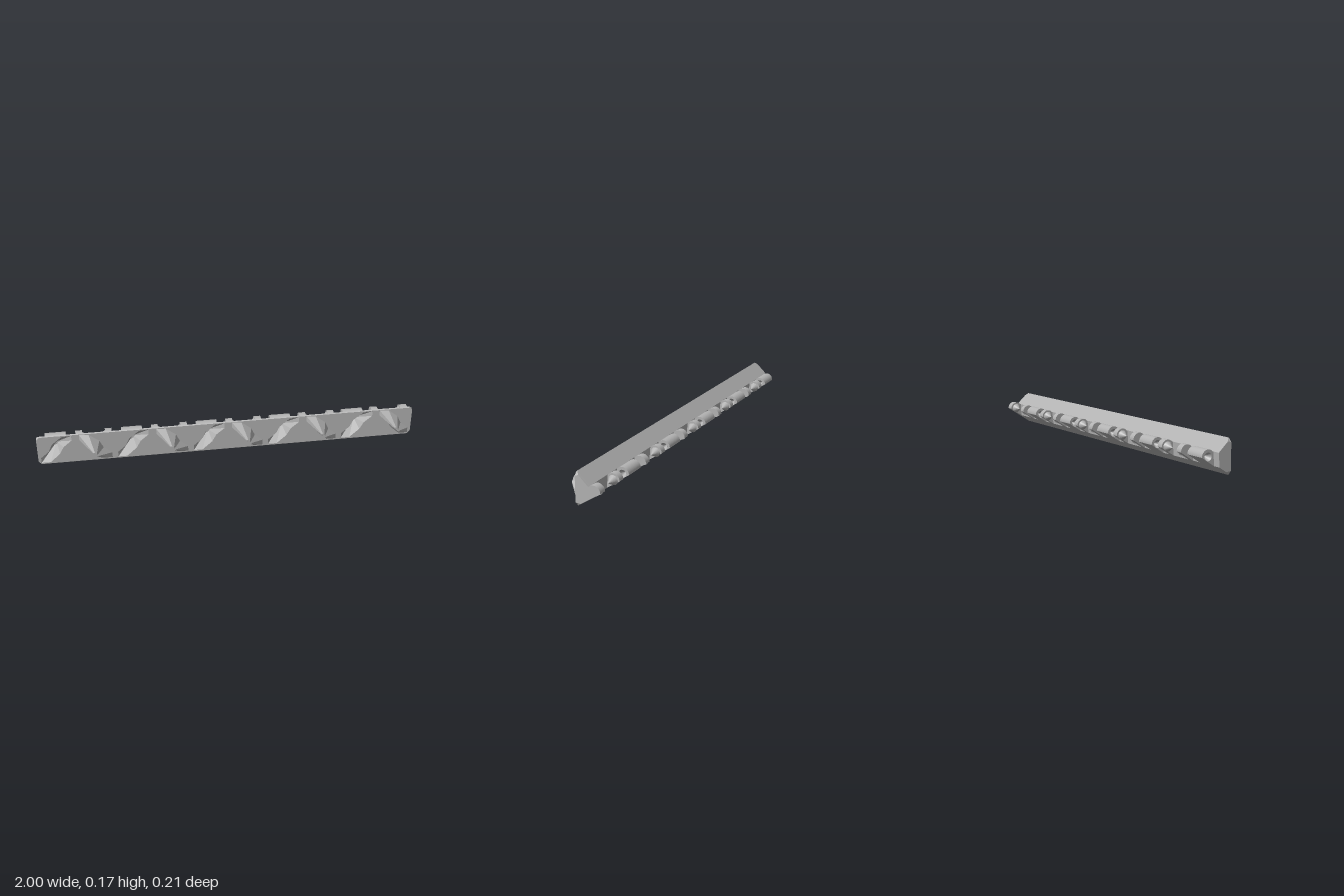
import * as THREE from 'three';

const grey = new THREE.MeshStandardMaterial({ color: 0xb2b2b2, side: THREE.DoubleSide, flatShading: true });
grey.name = 'plain grey';

const FRONT = 0.03;              // z of the flat front face
const AXIS = { y: 0.088, z: -0.069 }; // hinge axis

function part(geometry, name, parent) {
  const mesh = new THREE.Mesh(geometry, grey);
  mesh.name = name;
  parent.add(mesh);
  return mesh;
}

function fromTriangles(positions) {
  const g = new THREE.BufferGeometry();
  g.setAttribute('position', new THREE.Float32BufferAttribute(positions, 3));
  g.computeVertexNormals();
  return g;
}

// Diagonal waisted outline shared by sockets and teeth, counter-clockwise
const outline = [[-0.085, -0.045], [-0.042, -0.008], [-0.022, 0.035], [0.03, 0.076], [0.08, 0.08],
  [0.08, 0.05], [0.036, 0.013], [0.014, -0.028], [-0.038, -0.075], [-0.085, -0.075]];
const socketOutline = outline.slice().reverse();
const toothOutline = outline.map(([x, y]) => [-x, y]);

// Taper an outline from z0 to a small capped end at z1
function taper(points, z0, z1, scale) {
  const out = [];
  points.forEach(([ax, ay], i) => {
    const [bx, by] = points[(i + 1) % points.length];
    const a = [ax, ay, z0], b = [bx, by, z0];
    const c = [bx * scale, by * scale, z1], d = [ax * scale, ay * scale, z1];
    out.push(...a, ...b, ...c, ...a, ...c, ...d, ...d, ...c, 0, 0, z1);
  });
  return fromTriangles(out);
}

// Top, back and underside of the strip with bevelled ends; the front is left open
function stripShell() {
  const middle = [[0.03, 0.003], [0.027, 0], [-0.034, 0.042], [-0.04, 0.11], [0.025, 0.172], [0.03, 0.168]];
  const end = [[0.03, 0.02], [0.003, 0.018], [-0.034, 0.042], [-0.04, 0.11], [0.011, 0.158], [0.03, 0.152]];
  const stations = [[-1, end], [-0.985, middle], [0.985, middle], [1, end]]
    .map(([x, s]) => s.map(([z, y]) => [x, y, z]));
  const out = [];
  for (let s = 0; s < 3; s++) {
    for (let i = 0; i < 5; i++) {
      const a = stations[s][i], b = stations[s + 1][i];
      const c = stations[s + 1][i + 1], d = stations[s][i + 1];
      out.push(...a, ...c, ...b, ...a, ...d, ...c);
    }
  }
  for (let i = 1; i < 5; i++) {
    const [l, r] = [stations[0], stations[3]];
    out.push(...l[0], ...l[i + 1], ...l[i], ...r[0], ...r[i], ...r[i + 1]);
  }
  return fromTriangles(out);
}

// Front plate pierced by the sockets
function frontFace(socketXs) {
  const shape = new THREE.Shape([[-1, 0.02], [-0.985, 0.003], [0.985, 0.003], [1, 0.02],
    [1, 0.152], [0.985, 0.168], [-0.985, 0.168], [-1, 0.152]].map(p => new THREE.Vector2(...p)));
  for (const cx of socketXs) {
    shape.holes.push(new THREE.Path(socketOutline.map(([x, y]) => new THREE.Vector2(cx + x, 0.085 + y))));
  }
  return new THREE.ShapeGeometry(shape).translate(0, 0, FRONT);
}

// Rounded hinge knuckle between two x values, optionally bored
function knuckle(x0, x1, bored) {
  const s = new THREE.Shape();
  s.moveTo(0.034, 0.042);
  s.lineTo(0.04, 0.11);
  s.absarc(-AXIS.z, AXIS.y, 0.034, 2.49, -0.05, true);
  s.closePath();
  if (bored) {
    const hole = new THREE.Path();
    hole.absarc(-AXIS.z, AXIS.y, 0.02, 0, Math.PI * 2, false);
    s.holes.push(hole);
  }
  return new THREE.ExtrudeGeometry(s, { depth: x1 - x0, bevelEnabled: false, curveSegments: 20 })
    .rotateY(Math.PI / 2).translate(x0, 0, 0);
}

// Cone on the hinge axis with its base at x, pointing along dir
function axisCone(x, dir, radius, length, open) {
  return new THREE.ConeGeometry(radius, length, 24, 1, open)
    .rotateZ(-dir * Math.PI / 2).translate(x + dir * length / 2, AXIS.y, AXIS.z);
}

export function createModel() {
  const model = new THREE.Group();
  model.name = 'hinged rack strip';
  const steps = [0, 0.4, 0.8, 1.2, 1.6];

  part(stripShell(), 'stripBody', model);
  part(frontFace(steps.map(s => s - 0.9)), 'frontFace', model);

  for (const s of steps) {
    // Front: tapered socket, then a matching tooth
    part(taper(socketOutline, FRONT, -0.035, 0.15), 'socket', model).position.set(s - 0.9, 0.085, 0);
    const tooth = new THREE.Group();
    tooth.name = 'tooth';
    tooth.position.set(s - 0.7, 0.085, 0);
    part(taper(toothOutline, FRONT, 0.105, 0.17), 'toothBlade', tooth);
    const boss = new THREE.CylinderGeometry(0.012, 0.024, 0.055, 6).rotateX(Math.PI / 2);
    part(boss.translate(0, 0.005, 0.0575), 'toothBoss', tooth);
    model.add(tooth);

    // Back: wide bored knuckle with conical recesses
    part(knuckle(s - 0.96, s - 0.85, true), 'wideKnuckle', model);
    part(axisCone(s - 0.96, 1, 0.02, 0.04, true), 'recess', model);
    part(axisCone(s - 0.85, -1, 0.02, 0.04, true), 'recess', model);

    // Back: two narrow knuckles with facing cone pins
    const last = s > 1.5;
    const inner = last ? 0.96 : s - 0.645;
    part(knuckle(s - 0.8, s - 0.765, false), 'narrowKnuckle', model);
    part(knuckle(inner, last ? 1 : s - 0.61, false), 'narrowKnuckle', model);
    part(axisCone(s - 0.765, 1, 0.025, 0.045, false), 'conePin', model);
    part(axisCone(inner, -1, 0.025, 0.04, false), 'conePin', model);
  }
  return model;
}
